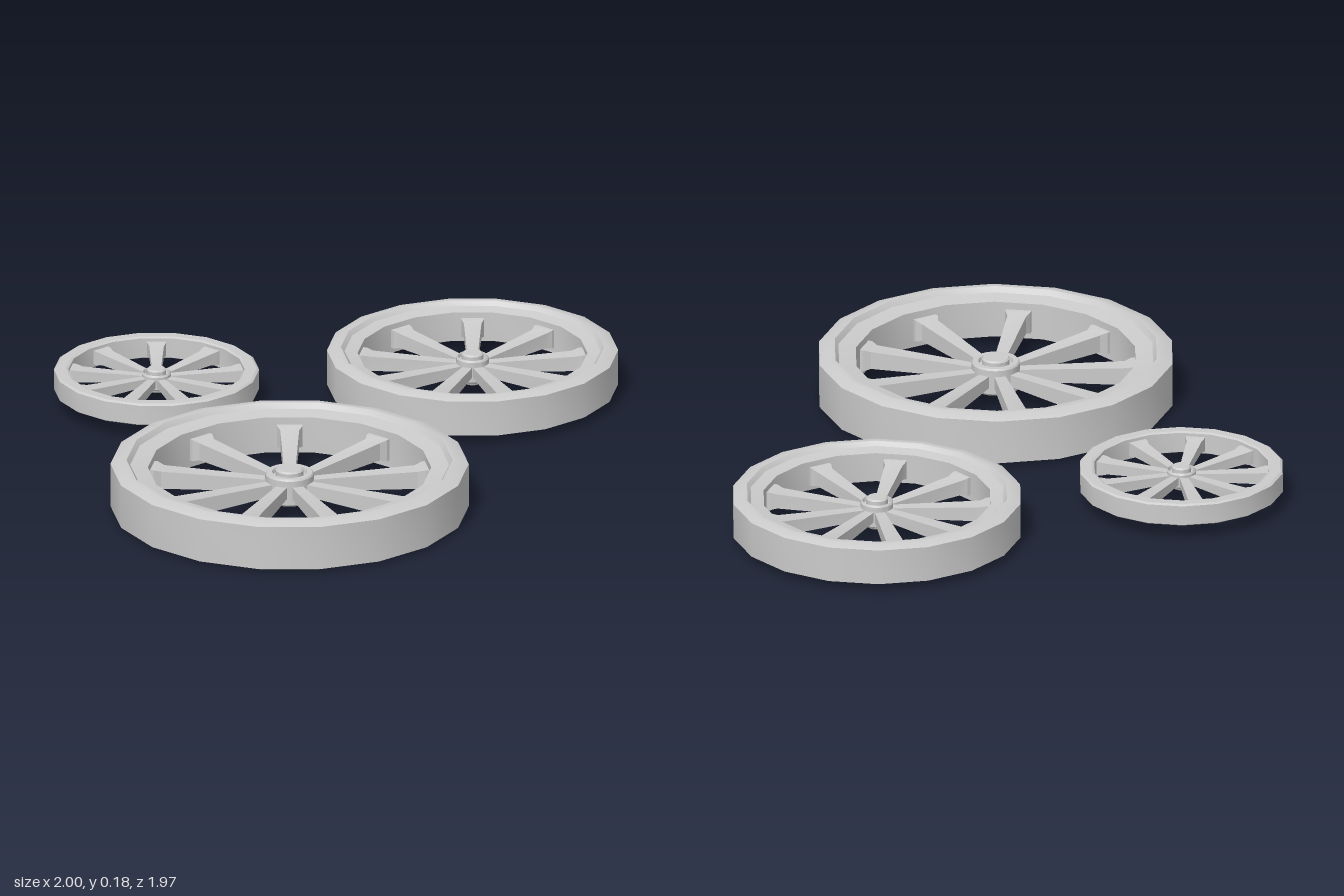
import * as THREE from 'three';
import { toCreasedNormals } from 'three/addons/utils/BufferGeometryUtils.js';

const SIDES = 18, SPOKES = 9, MID_Y = 0.088;
const material = new THREE.MeshStandardMaterial({ color: 0xcccccc });

// Revolve an (r, y) profile, smooth around the axis and sharp at its corners
function turned(name, profile) {
  const points = profile.map(([r, y]) => new THREE.Vector2(r, y));
  const geometry = new THREE.LatheGeometry(points, SIDES, Math.PI / 2);
  const mesh = new THREE.Mesh(toCreasedNormals(geometry, Math.PI / 7), material);
  mesh.name = name;
  return mesh;
}

// Mirror the lower half of a profile to the upper half
const mirrored = (half) => [...half, ...half.map(([r, y]) => [r, -y]).reverse()];

// Tapered spoke along +z with a flared foot; stations are [z, width, height]
function spokeGeometry(stations) {
  const geometry = new THREE.BoxGeometry(1, 1, 1, 1, 1, stations.length - 1);
  const p = geometry.attributes.position;
  for (let i = 0; i < p.count; i++) {
    const [z, w, h] = stations[Math.round((p.getZ(i) + 0.5) * (stations.length - 1))];
    p.setXYZ(i, p.getX(i) * w, p.getY(i) * h, z);
  }
  return toCreasedNormals(geometry, Math.PI / 9);
}

function createWheel({ name, x, z, radius, half, inner, lip, hub, cap, spoke }) {
  const wheel = new THREE.Group();
  wheel.name = name;
  wheel.position.set(x, MID_Y, z);

  // Rim: bevelled tyre, with a recessed inner ring on the larger wheels
  const bevel = half * 0.16;
  const ring = lip
    ? [[inner, -half * 0.7], [lip - 0.012, -half * 0.8], [lip, -half], [lip + 0.018, -half], [radius, -half + bevel]]
    : [[inner, -half + 0.004], [inner + 0.008, -half], [radius - 0.008, -half], [radius, -half + 0.005]];
  const rim = mirrored(ring);
  wheel.add(turned('rim', [...rim, rim[0]]));

  // Hub: flange with a groove around a raised cap
  const flange = half * 0.4 + 0.012, top = flange + 0.012;
  wheel.add(turned('hub', mirrored([
    [0, -top], [cap - 0.005, -top], [cap, -top + 0.005], [cap, -flange + 0.012],
    [cap + 0.008, -flange + 0.012], [cap + 0.012, -flange], [hub - 0.004, -flange], [hub, -flange + 0.006],
  ])));

  // Spokes, one of them pointing to the front
  const end = inner * Math.cos(Math.PI / SIDES);
  const [w0, w1, foot, h0, h1] = spoke;
  const geometry = spokeGeometry([
    [hub * 0.8, w0, h0], [end - 0.035, w1, h1], [end - 0.012, foot, h1 * 1.25], [end + 0.012, foot, h1 * 1.25],
  ]);
  for (let i = 0; i < SPOKES; i++) {
    const mesh = new THREE.Mesh(geometry, material);
    mesh.name = 'spoke';
    mesh.rotation.y = (i / SPOKES) * Math.PI * 2;
    wheel.add(mesh);
  }
  return wheel;
}

export function createModel() {
  const model = new THREE.Group();
  model.name = 'wheelSet';
  model.add(
    createWheel({
      name: 'largeWheel', x: -0.412, z: 0.407, radius: 0.588, half: 0.088,
      inner: 0.465, lip: 0.535, hub: 0.08, cap: 0.046, spoke: [0.036, 0.062, 0.085, 0.04, 0.06],
    }),
    createWheel({
      name: 'mediumWheel', x: 0.521, z: -0.405, radius: 0.478, half: 0.071,
      inner: 0.377, lip: 0.432, hub: 0.054, cap: 0.036, spoke: [0.032, 0.058, 0.075, 0.034, 0.05],
    }),
    createWheel({
      name: 'smallWheel', x: -0.491, z: -0.656, radius: 0.337, half: 0.038,
      inner: 0.289, lip: 0, hub: 0.048, cap: 0.032, spoke: [0.027, 0.048, 0.062, 0.026, 0.038],
    }),
  );
  return model;
}
